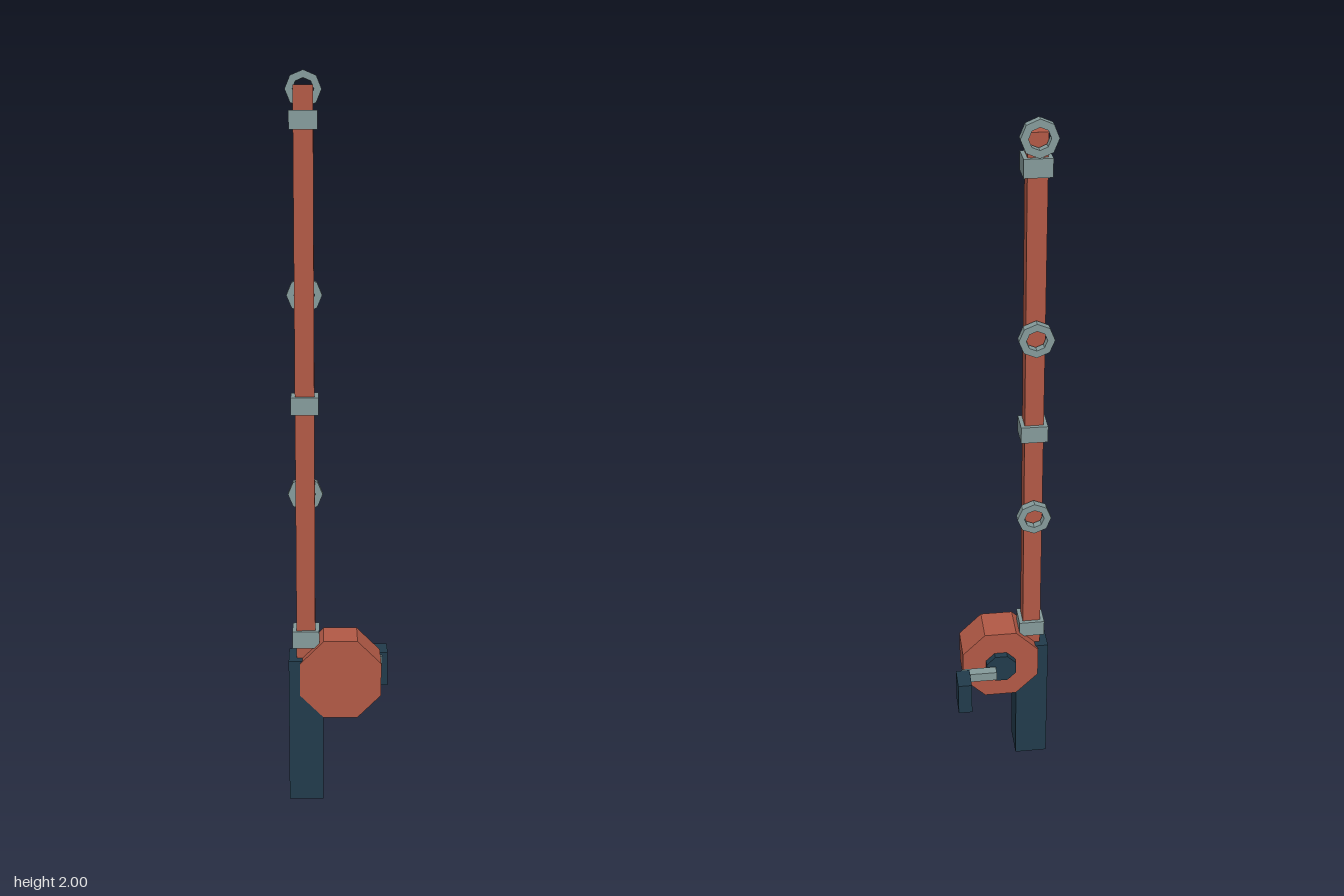
import * as THREE from 'three';

const flat = (name, color) => Object.assign(new THREE.MeshStandardMaterial({ color, flatShading: true }), { name });

export function createModel() {
  const red = flat('brick red', 0xb25946);
  const grey = flat('metal grey', 0x859b9b);
  const navy = flat('dark navy', 0x213b4b);

  const model = new THREE.Group();
  model.name = 'fishingRod';

  const add = (name, geometry, material, x, y, z) => {
    const mesh = new THREE.Mesh(geometry, material);
    mesh.name = name;
    mesh.position.set(x, y, z);
    model.add(mesh);
    return mesh;
  };

  // Box given by its extents on each axis
  const box = (name, material, [x0, x1], [y0, y1], [z0, z1]) =>
    add(name, new THREE.BoxGeometry(x1 - x0, y1 - y0, z1 - z0), material,
      (x0 + x1) / 2, (y0 + y1) / 2, (z0 + z1) / 2);

  // Eight-sided drum with its axis along z and a flat on top
  const drum = (name, material, apothem, z0, z1) => {
    const r = apothem / Math.cos(Math.PI / 8);
    const geometry = new THREE.CylinderGeometry(r, r, z1 - z0, 8)
      .rotateY(Math.PI / 8).rotateX(Math.PI / 2);
    return add(name, geometry, material, 0.002, 0.361, (z0 + z1) / 2);
  };

  const rodX = -0.094;

  // Grip and pole
  box('handle', navy, [-0.142, -0.046], [0, 0.415], [0.008, 0.106]);
  box('pole', red, [rodX - 0.026, rodX + 0.026], [0.4, 1.96], [0.029, 0.081]);

  // Square collars around the pole
  for (const y of [0.472, 1.132, 1.874]) {
    box('collar', grey, [rodX - 0.037, rodX + 0.037], [y - 0.024, y + 0.024], [0.018, 0.091]);
  }

  // Octagonal line guides behind the pole
  const octagon = (r) => Array.from({ length: 8 }, (_, i) =>
    new THREE.Vector2(Math.cos(i * Math.PI / 4) * r, Math.sin(i * Math.PI / 4) * r));
  const ring = new THREE.Shape(octagon(0.048));
  ring.holes.push(new THREE.Path(octagon(0.028).reverse()));
  const guide = new THREE.ExtrudeGeometry(ring, { depth: 0.023, bevelEnabled: false });
  for (const y of [0.872, 1.421, 1.952]) add('lineGuide', guide, grey, rodX, y, 0);

  // Reel with its hub, crank arm and knob
  drum('reel', red, 0.113, 0, 0.108);
  drum('reelHub', navy, 0.044, -0.02, 0.002);
  box('crankArm', grey, [0.02, 0.123], [0.347, 0.375], [-0.053, -0.026]);
  box('crankKnob', navy, [0.1, 0.14], [0.281, 0.382], [-0.111, -0.04]);

  return model;
}
